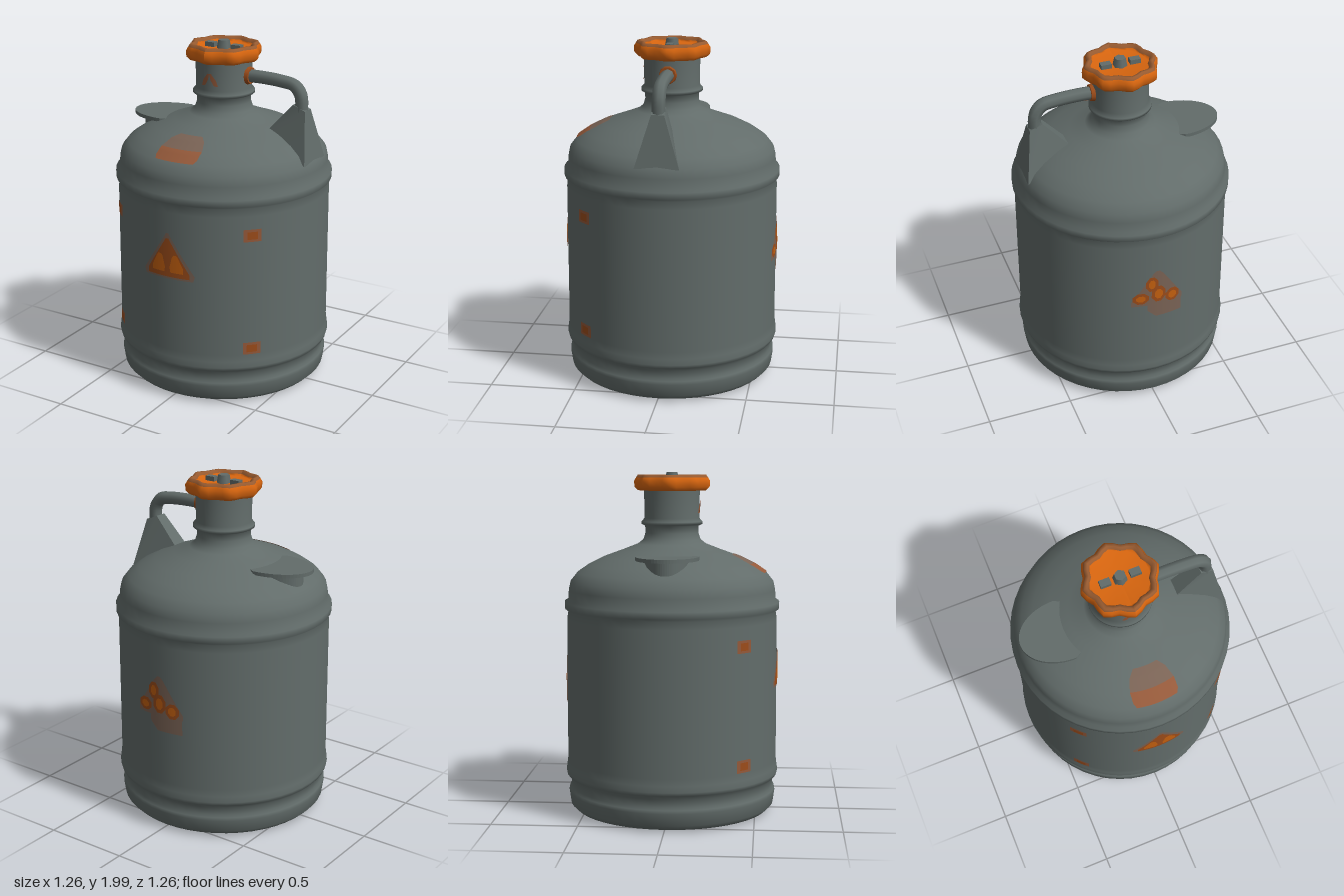
import * as THREE from 'three';

const mat = (name, color, side = THREE.FrontSide) => {
  const m = new THREE.MeshStandardMaterial({ color, side });
  m.name = name;
  return m;
};

// Outer wall of the drum, from the foot to the mouth: [radius, height]
const WALL = [
  [0.5, 0.008], [0.575, 0.02], [0.605, 0.05], [0.615, 0.12], [0.612, 0.14], [0.6, 0.155], [0.602, 0.2],
  [0.625, 0.225], [0.63, 0.245], [0.625, 0.28], [0.62, 0.32], [0.617, 1.15], [0.61, 1.195], [0.63, 1.21],
  [0.631, 1.25], [0.61, 1.262], [0.606, 1.32], [0.595, 1.37], [0.555, 1.42], [0.49, 1.465], [0.4, 1.51],
  [0.29, 1.55], [0.2, 1.585], [0.168, 1.61], [0.155, 1.65], [0.157, 1.69], [0.178, 1.7], [0.178, 1.715],
  [0.16, 1.735], [0.163, 1.91],
];
const FLOOR = [[0, 0.05], [0.2, 0.045], [0.28, 0.02], [0.36, 0.008]];

const vec = (list) => list.map(([a, b]) => new THREE.Vector2(a, b));

function radiusAt(y) {
  for (let i = 1; i < WALL.length; i++) {
    const [r0, y0] = WALL[i - 1], [r1, y1] = WALL[i];
    if (y <= y1) return r0 + (r1 - r0) * (y - y0) / (y1 - y0);
  }
  return WALL[WALL.length - 1][0];
}

// Thin painted patch wrapped on the drum; rows are [height, x from, x to], bottom to top
function patchGeometry(rows, lift) {
  const cols = 10, steps = 6, pos = [], index = [];
  let count = 0;
  for (let i = 0; i < rows.length; i++) {
    const a = rows[i], b = rows[Math.min(i + 1, rows.length - 1)];
    for (let s = 0; s < (i < rows.length - 1 ? steps : 1); s++, count++) {
      const [y, x0, x1] = a.map((v, k) => v + (b[k] - v) * s / steps);
      const r = radiusAt(y) + lift;
      for (let c = 0; c <= cols; c++) {
        const x = x0 + (x1 - x0) * c / cols;
        pos.push(x, y, Math.sqrt(r * r - x * x));
      }
    }
  }
  for (let j = 0; j < count - 1; j++) {
    for (let c = 0; c < cols; c++) {
      const p = j * (cols + 1) + c, q = p + cols + 1;
      index.push(p, p + 1, q, p + 1, q + 1, q);
    }
  }
  const g = new THREE.BufferGeometry();
  g.setAttribute('position', new THREE.Float32BufferAttribute(pos, 3));
  g.setIndex(index);
  g.computeVertexNormals();
  return g;
}

// Eight-lobed turned ring for the cap
function lobedLathe(profile) {
  const g = new THREE.LatheGeometry(vec(profile), 32);
  const p = g.attributes.position;
  for (let i = 0; i < p.count; i++) {
    const x = p.getX(i), z = p.getZ(i), r = Math.hypot(x, z);
    if (r < 0.168) continue;
    const k = 1 + 0.06 * (Math.cos(8 * Math.atan2(x, z)) - 1);
    p.setX(i, x * k);
    p.setZ(i, z * k);
  }
  g.computeVertexNormals();
  return g;
}

// Half-oval slab reaching out to -x
function halfOval(rx, rz, y0, y1) {
  const s = new THREE.Shape();
  s.absellipse(-0.33, 0, rx, rz, Math.PI / 2, Math.PI * 1.5, false);
  s.lineTo(-0.26, -rz * 0.8);
  s.lineTo(-0.26, rz * 0.8);
  s.closePath();
  const g = new THREE.ExtrudeGeometry(s, { depth: y1 - y0, bevelEnabled: false, curveSegments: 16 });
  return g.rotateX(-Math.PI / 2).translate(0, y0, 0);
}

export function createModel() {
  const model = new THREE.Group();
  model.name = 'canister';
  const grey = mat('greyMetal', 0x626c6a);
  const orange = mat('orange', 0xd9660f);
  const rimWorn = mat('wornOrange', 0x965a30);
  const paint = mat('paintOrange', 0xc4600f, THREE.DoubleSide);
  const paintDark = mat('paintDarkOrange', 0x9c4c1a, THREE.DoubleSide);
  const faded = mat('fadedPaint', 0x7a6355, THREE.DoubleSide);
  const rust = mat('rustPaint', 0x94593a, THREE.DoubleSide);

  const add = (name, geometry, material, parent = model) => {
    const m = new THREE.Mesh(geometry, material);
    m.name = name;
    parent.add(m);
    return m;
  };
  const patch = (name, rows, material, lift = 0.004, angle = 0) => {
    add(name, patchGeometry(rows, lift), material).rotation.y = angle;
  };
  const spot = (x, y, w, h) => [
    [y - h, x - w * 0.4, x + w * 0.4], [y - h * 0.4, x - w, x + w],
    [y + h * 0.4, x - w, x + w], [y + h, x - w * 0.4, x + w * 0.4],
  ];

  // Drum, shoulder and neck
  add('body', new THREE.LatheGeometry(vec([...FLOOR, ...WALL]), 48), grey);

  // Screw cap
  const cap = new THREE.Group();
  cap.name = 'cap';
  model.add(cap);
  add('capSkirt', lobedLathe([[0.15, 1.9], [0.2, 1.895], [0.22, 1.915], [0.222, 1.95], [0.21, 1.97]]), orange, cap);
  add('capRim', lobedLathe([[0.21, 1.97], [0.2, 1.985], [0.185, 1.985], [0.172, 1.968]]), rimWorn, cap);
  add('capTop', lobedLathe([[0.176, 1.972], [0.16, 1.955], [0, 1.952]]), orange, cap);
  add('capKnob', new THREE.CylinderGeometry(0.032, 0.042, 0.05, 6).translate(0, 1.975, 0), grey, cap);
  for (const s of [-1, 1]) {
    add('capLug', new THREE.BoxGeometry(0.06, 0.03, 0.04).translate(s * 0.085, 1.965, 0), grey, cap);
  }

  // Carrying handle: bent tube on a tapered foot
  const path = new THREE.CatmullRomCurve3([
    [0.13, 1.81], [0.25, 1.812], [0.38, 1.805], [0.455, 1.79], [0.495, 1.74], [0.502, 1.64],
  ].map(([x, y]) => new THREE.Vector3(x, y, 0)));
  add('handleBar', new THREE.TubeGeometry(path, 24, 0.038, 8), grey);
  add('handleCollar', new THREE.CylinderGeometry(0.048, 0.052, 0.022, 10).rotateZ(-Math.PI / 2).translate(0.169, 1.812, 0), paintDark);
  const foot = new THREE.BoxGeometry(1, 1, 1);
  const fp = foot.attributes.position;
  for (let i = 0; i < fp.count; i++) {
    const out = fp.getX(i) > 0, top = fp.getY(i) > 0, s = Math.sign(fp.getZ(i));
    if (top) fp.setXYZ(i, out ? 0.54 : 0.465, out ? 1.66 : 1.69, s * 0.036);
    else fp.setXYZ(i, out ? 0.588 : 0.3, out ? 1.37 : 1.51, s * (out ? 0.125 : 0.05));
  }
  foot.computeVertexNormals();
  add('handleFoot', foot, grey);

  // Grip ledge on the opposite shoulder
  add('ledgePlate', halfOval(0.26, 0.18, 1.512, 1.533), grey);
  add('ledgeSupport', halfOval(0.2, 0.13, 1.36, 1.515), grey);

  // Front warning triangle
  patch('frontTriangleEdge', [[0.76, -0.155, 0.155], [0.79, -0.165, 0.165], [1.0, -0.025, 0.025], [1.03, -0.008, 0.008]], faded);
  patch('frontTriangle', [[0.772, -0.135, 0.135], [0.8, -0.135, 0.135], [1.0, -0.008, 0.008]], paintDark, 0.006);
  for (const s of [-1, 1]) {
    const lobe = [[0.8, 0.02, 0.1], [0.83, 0.015, 0.1], [0.89, 0.03, 0.07], [0.905, 0.04, 0.06]];
    patch('frontTriangleMark', lobe.map(([y, a, b]) => (s > 0 ? [y, a, b] : [y, -b, -a])), paint, 0.008);
  }

  // Back warning patch
  patch('backTriangle', [[0.73, -0.155, 0.155], [0.76, -0.155, 0.155], [0.95, -0.03, 0.03], [0.97, -0.01, 0.01]], faded, 0.004, Math.PI);
  patch('backLabel', [[0.64, -0.01, 0.15], [0.69, -0.06, 0.15], [0.73, -0.06, 0.15]], faded, 0.004, Math.PI);
  for (const [x, y, w, h] of [[-0.035, 0.88, 0.026, 0.04], [-0.1, 0.785, 0.036, 0.028], [0.005, 0.805, 0.032, 0.045], [0.09, 0.775, 0.032, 0.035]]) {
    patch('backMarkEdge', spot(x, y, w + 0.01, h + 0.01), paintDark, 0.006, Math.PI);
    patch('backMark', spot(x, y, w * 0.75, h * 0.75), paint, 0.008, Math.PI);
  }

  // Four small squares around the front
  for (const s of [-1, 1]) {
    for (const y of [0.36, 1.04]) {
      patch('squareMark', [[y - 0.036, -0.052, 0.052], [y + 0.036, -0.052, 0.052]], rust, 0.004, s * Math.PI / 4);
      patch('squareMarkCentre', [[y - 0.022, -0.03, 0.03], [y + 0.022, -0.03, 0.03]], paintDark, 0.006, s * Math.PI / 4);
    }
  }

  // Shoulder and neck labels
  patch('shoulderLabelBase', [[1.425, -0.12, 0.12], [1.44, -0.132, 0.132], [1.475, -0.13, 0.13]], rust, 0.008);
  patch('shoulderLabelTop', [[1.475, -0.13, 0.13], [1.51, -0.105, 0.105], [1.527, -0.07, 0.07]], faded, 0.008);
  for (const s of [-1, 1]) {
    const leg = [[1.765, 0.03, 0.052], [1.8, 0.008, 0.04], [1.835, 0.0, 0.012]];
    patch('neckMark', leg.map(([y, a, b]) => (s > 0 ? [y, a, b] : [y, -b, -a])), rust);
  }
  return model;
}
